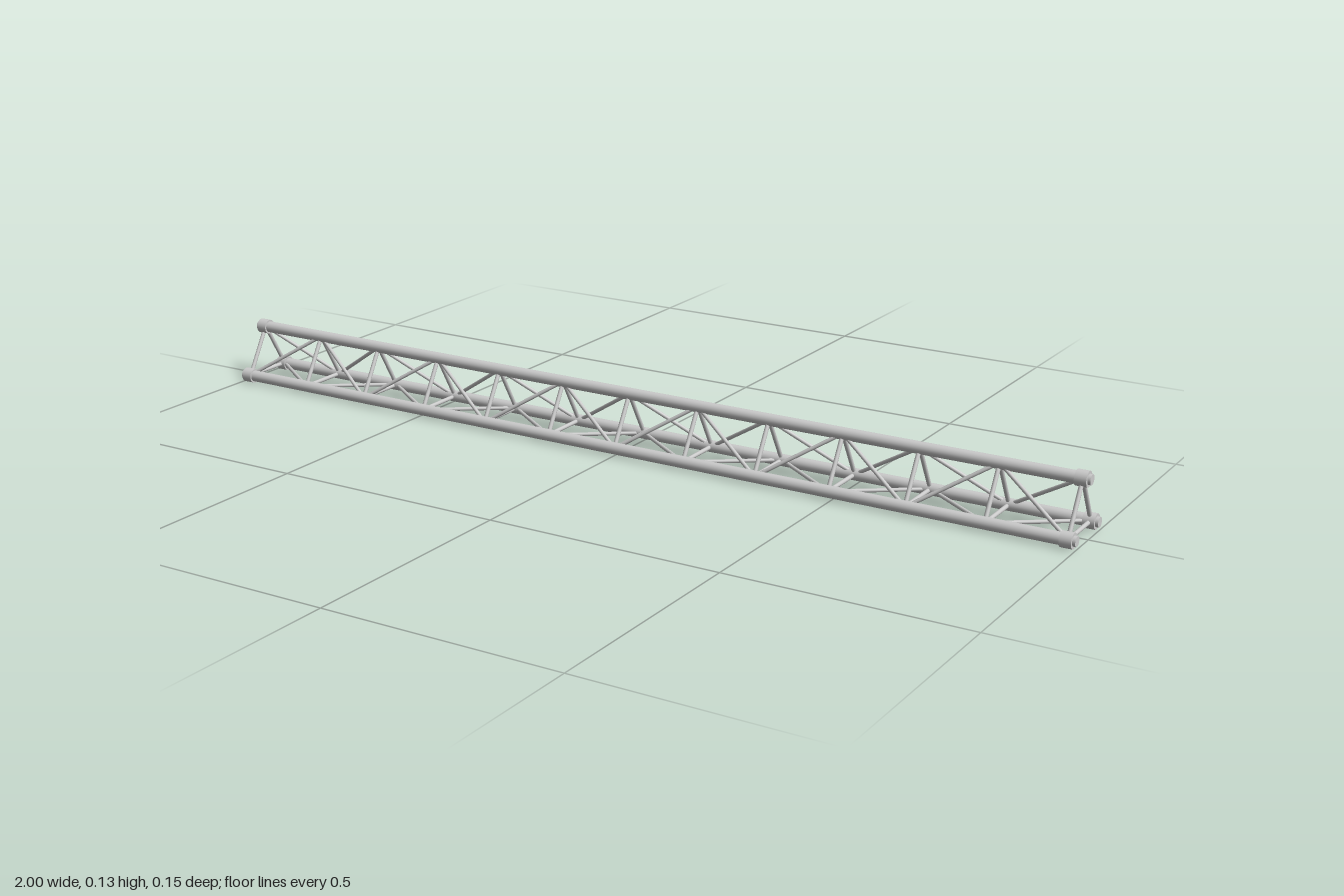
import * as THREE from 'three';

const BAYS = 12, HALF = 0.982;
const CHORD_R = 0.0125, COLLAR_R = 0.016;
const material = new THREE.MeshStandardMaterial({ color: 0xcccccc, metalness: 0.2, roughness: 0.5 });

// Chord centres in the y/z plane: front bottom, top, back bottom
const chords = [[0.0165, 0.059], [0.1187, 0], [0.0165, -0.059]];
const at = (i, x) => new THREE.Vector3(x, chords[i][0], chords[i][1]);

// Round bar between two points
function bar(name, a, b, radius, sides) {
  const dir = b.clone().sub(a);
  const mesh = new THREE.Mesh(new THREE.CylinderGeometry(radius, radius, dir.length(), sides), material);
  mesh.name = name;
  mesh.position.copy(a).add(b).multiplyScalar(0.5);
  mesh.quaternion.setFromUnitVectors(new THREE.Vector3(0, 1, 0), dir.normalize());
  return mesh;
}

export function createModel() {
  const truss = new THREE.Group();
  truss.name = 'triangularTruss';

  // Long main tubes with a collar and a spigot at both ends
  chords.forEach((_, i) => {
    truss.add(bar('mainTube', at(i, -0.985), at(i, 0.985), CHORD_R, 24));
    for (const s of [-1, 1]) {
      truss.add(bar('endCollar', at(i, s * 0.97), at(i, s * 0.994), COLLAR_R, 24));
      truss.add(bar('endSpigot', at(i, s * 0.98), at(i, s), 0.0105, 24));
    }
  });

  const step = (2 * HALF) / BAYS;
  for (let n = 0; n <= BAYS; n++) {
    const x = -HALF + n * step;
    for (let i = 0; i < 3; i++) {
      const j = (i + 1) % 3;
      // Triangular cross frame at every node
      truss.add(bar('crossStrut', at(i, x), at(j, x), 0.0045, 12));
      // Zigzag diagonal on each face, swapping direction every bay
      if (n < BAYS) {
        const [from, to] = n % 2 ? [j, i] : [i, j];
        truss.add(bar('diagonalBrace', at(from, x), at(to, x + step), 0.004, 12));
      }
    }
  }
  return truss;
}
